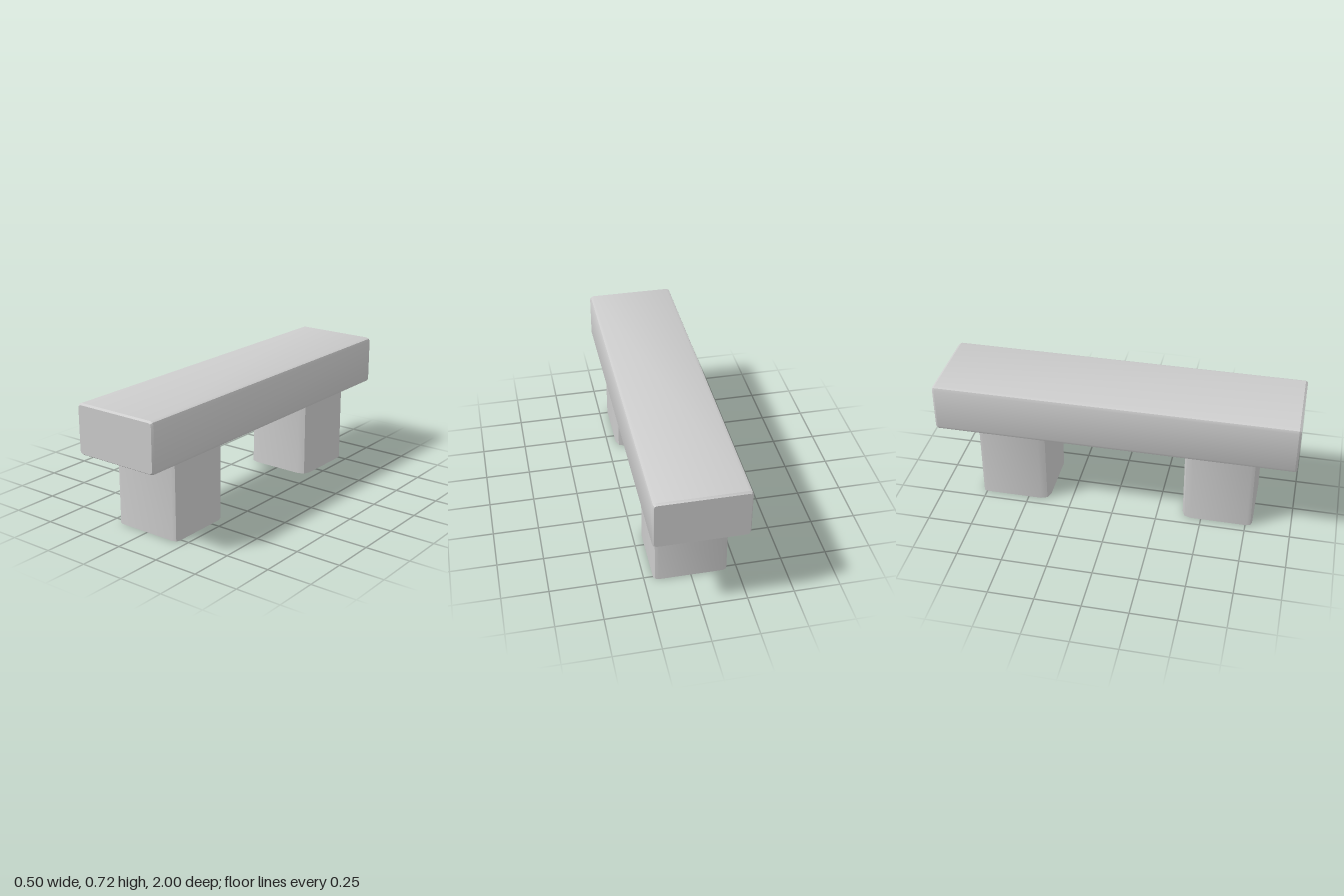
import * as THREE from 'three';
import { toCreasedNormals } from 'three/addons/utils/BufferGeometryUtils.js';

const material = new THREE.MeshStandardMaterial({ color: 0xcccccc });

// Rectangle with worn, three-point corners; cutLow / cutHigh are the corner cuts at -y and +y.
function wornRect(w, h, cutLow, cutHigh) {
  const points = [];
  for (const [sx, sy] of [[1, -1], [1, 1], [-1, 1], [-1, -1]]) {
    const c = sy < 0 ? cutLow : cutHigh;
    const corner = [[w / 2 - c, h / 2], [w / 2 - c * 0.28, h / 2 - c * 0.28], [w / 2, h / 2 - c]]
      .map(([x, y]) => new THREE.Vector2(sx * x, sy * y));
    // keep the outline counter-clockwise
    points.push(...(sx * sy > 0 ? corner.reverse() : corner));
  }
  return new THREE.Shape(points);
}

function addPart(group, name, geometry) {
  const mesh = new THREE.Mesh(toCreasedNormals(geometry, 0.5), material);
  mesh.name = name;
  group.add(mesh);
  return mesh;
}

export function createModel() {
  const group = new THREE.Group();
  group.name = 'stoneBench';

  // Seat slab, extruded along z with a slim bevel at both ends
  const bevel = 0.012, length = 2, height = 0.276;
  const slab = new THREE.ExtrudeGeometry(wornRect(0.498, height, 0.022, 0.022), {
    depth: length - 2 * bevel, bevelEnabled: true, bevelSegments: 1,
    bevelSize: 0.008, bevelOffset: -0.008, bevelThickness: bevel,
  });
  slab.translate(0, 0.44 + height / 2, -length / 2 + bevel);
  addPart(group, 'seat', slab);

  // Block legs: inner corners are worn more than outer ones
  const legs = [['frontLeg', 0.588, 0.05, 0.027], ['backLeg', -0.577, 0.027, 0.05]];
  for (const [name, z, cutBack, cutFront] of legs) {
    const leg = new THREE.ExtrudeGeometry(wornRect(0.4, 0.396, cutFront, cutBack), {
      depth: 0.445, bevelEnabled: false,
    });
    leg.rotateX(-Math.PI / 2); // shape +y becomes -z
    addPart(group, name, leg).position.z = z;
  }
  return group;
}
